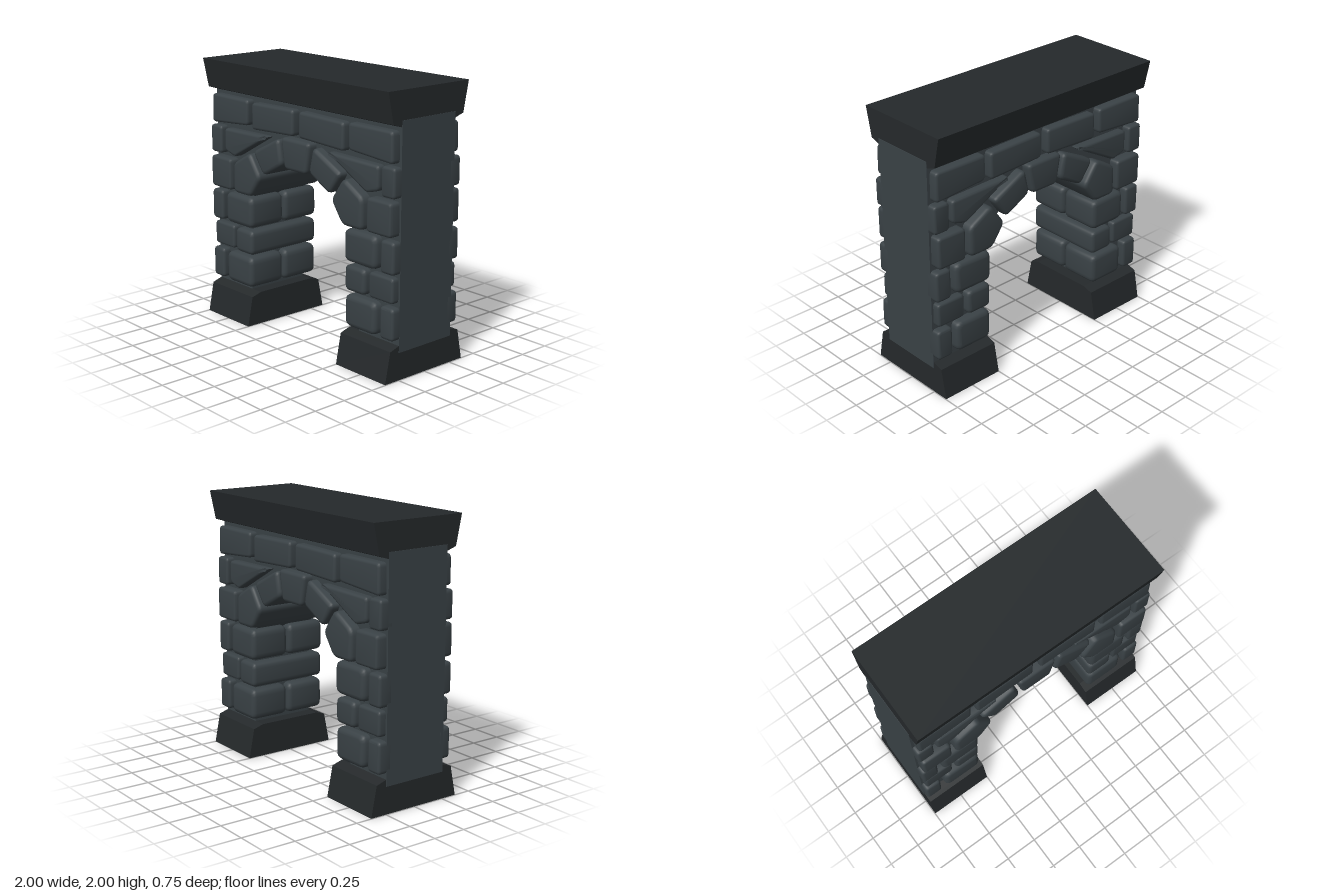
import * as THREE from 'three';
import { toCreasedNormals } from 'three/addons/utils/BufferGeometryUtils.js';

const stoneMat = new THREE.MeshStandardMaterial({ color: 0x3a4246 });
const trimMat = new THREE.MeshStandardMaterial({ color: 0x25292b });

// Polygon with rounded corners
function roundedShape(pts, r) {
  const v = pts.map(([x, y]) => new THREE.Vector2(x, y));
  const s = new THREE.Shape();
  v.forEach((p, i) => {
    const prev = v[(i + v.length - 1) % v.length];
    const next = v[(i + 1) % v.length];
    const a = p.clone().add(prev.clone().sub(p).setLength(r));
    const b = p.clone().add(next.clone().sub(p).setLength(r));
    if (i === 0) s.moveTo(a.x, a.y);
    else s.lineTo(a.x, a.y);
    s.quadraticCurveTo(p.x, p.y, b.x, b.y);
  });
  s.closePath();
  return s;
}

// Pillow-edged block between two depths
function stone(name, pts, z0, z1, bevel) {
  let g = new THREE.ExtrudeGeometry(roundedShape(pts, bevel * 1.5), {
    depth: z1 - z0 - 2 * bevel, curveSegments: 4,
    bevelEnabled: true, bevelSize: bevel, bevelOffset: -bevel,
    bevelThickness: bevel, bevelSegments: 3,
  });
  g.translate(0, 0, z0 + bevel);
  g = toCreasedNormals(g, 0.7);
  const m = new THREE.Mesh(g, stoneMat);
  m.name = name;
  return m;
}

const rect = (x0, x1, y0, y1) => [[x0, y0], [x1, y0], [x1, y1], [x0, y1]];
const mirrorX = (pts, s) => pts.map(([x, y]) => [x * s, y]);

// Tapered moulding: a depth/height profile run along x
function moulding(name, half, x0, x1) {
  const outline = [...half, ...half.map(([z, y]) => [-z, y]).reverse()];
  const s = new THREE.Shape(outline.map(([z, y]) => new THREE.Vector2(z, y)));
  const g = new THREE.ExtrudeGeometry(s, { depth: x1 - x0, bevelEnabled: false });
  g.rotateY(Math.PI / 2).translate(x0, 0, 0);
  const m = new THREE.Mesh(g, trimMat);
  m.name = name;
  return m;
}

export function createModel() {
  const group = new THREE.Group();
  group.name = 'stoneArchway';

  // Mortar core with arched opening
  const side = [[0.6, 0.2], [0.6, 0.97], [0.53, 1.02], [0.41, 1.2], [0.16, 1.34]];
  const outline = [[-1, 0.2], ...mirrorX(side, -1), ...[...side].reverse(), [1, 0.2], [1, 1.8], [-1, 1.8]];
  const coreGeo = new THREE.ExtrudeGeometry(
    new THREE.Shape(outline.map(([x, y]) => new THREE.Vector2(x, y))),
    { depth: 0.5, bevelEnabled: false });
  coreGeo.translate(0, 0, -0.25);
  const core = new THREE.Mesh(coreGeo, stoneMat);
  core.name = 'wallCore';
  group.add(core);

  // Cap and plinths
  group.add(moulding('cap', [[0.25, 1.755], [0.328, 1.78], [0.375, 2]], -0.997, 0.997));
  const plinth = [[0.375, 0], [0.33, 0.225], [0.25, 0.25]];
  group.add(moulding('leftPlinth', plinth, 0.5, 0.997));
  group.add(moulding('rightPlinth', plinth, -0.997, -0.5));

  // Shallow facing stones: outline, front depth, bevel
  const facing = [
    ['edgeStone', rect(0.87, 1, 0.29, 0.52), 0.315, 0.02],
    ['edgeStone', rect(0.75, 0.985, 0.55, 0.73), 0.305, 0.018],
    ['edgeStone', rect(0.87, 1, 0.755, 0.985), 0.315, 0.02],
    ['edgeStone', rect(0.745, 0.985, 1.015, 1.255), 0.33, 0.02],
    ['edgeStone', rect(0.87, 1, 1.28, 1.49), 0.315, 0.018],
    ['spandrelStone', [[0.84, 1.31], [0.84, 1.48], [0.32, 1.49], [0.72, 1.275]], 0.31, 0.02],
    ['topCourseStone', [[0.03, 1.54], [0.5, 1.52], [0.5, 1.72], [0.03, 1.73]], 0.315, 0.02],
    ['topCourseStone', [[0.55, 1.54], [0.98, 1.51], [0.975, 1.73], [0.545, 1.73]], 0.315, 0.02],
  ];
  // Jamb quoins, meeting at mid depth
  const quoins = [rect(0.52, 0.83, 0.285, 0.52), rect(0.51, 0.83, 0.755, 0.99)];
  // Stones running through the full depth
  const through = [
    ['jambStone', rect(0.515, 0.72, 0.545, 0.73), 0.315],
    ['springerStone', [[0.71, 1.01], [0.71, 1.235], [0.515, 1.345], [0.39, 1.17], [0.505, 1.01]], 0.335],
    ['archStone', [[0.485, 1.36], [0.19, 1.505], [0.145, 1.31], [0.365, 1.195]], 0.325],
  ];

  for (const s of [1, -1]) {
    for (const [name, pts, z, b] of facing) {
      const p = mirrorX(pts, s);
      group.add(stone(name, p, 0.2, z, b), stone(name, p, -z, -0.2, b));
    }
    for (const pts of quoins) {
      const p = mirrorX(pts, s);
      group.add(stone('quoin', p, 0.008, 0.32, 0.035), stone('quoin', p, -0.32, -0.008, 0.035));
    }
    for (const [name, pts, z] of through) {
      group.add(stone(name, mirrorX(pts, s), -z, z, 0.028));
    }
  }

  // Keystone at the crown
  group.add(stone('keystone', [[-0.12, 1.29], [0.12, 1.29], [0.16, 1.52], [-0.16, 1.52]], -0.325, 0.325, 0.025));

  return group;
}
